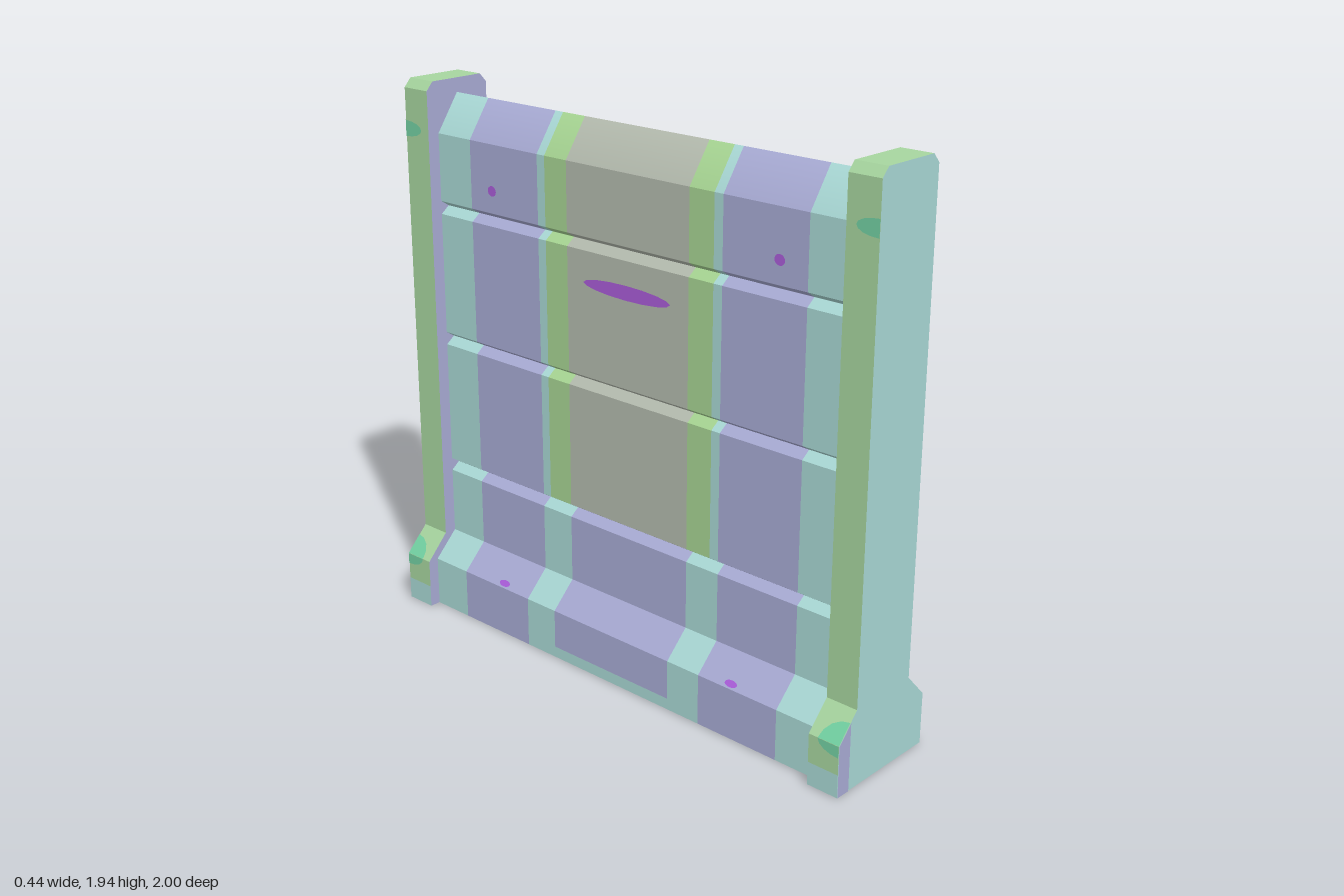
import * as THREE from 'three';

const colours = {
  teal: 0xa8d7d4, violet: 0xa7aad3, green: 0xa7d59f, sage: 0xb3baad, lime: 0xa6d492,
  emerald: 0x72d0a2, magenta: 0xa95cd8, olive: 0xbcb690, mustard: 0xbaab28,
};

export function createModel() {
  const model = new THREE.Group();
  model.name = 'wallSection';
  const mats = {};
  for (const [name, color] of Object.entries(colours)) {
    mats[name] = new THREE.MeshStandardMaterial({ color });
    mats[name].name = name;
  }

  // Collects triangles of one part, one mesh per colour
  function makePart(name) {
    const buckets = {};
    const tri = (colour, pts, normals) => {
      const b = (buckets[colour] ??= { pos: [], nor: [] });
      pts.forEach((p, i) => { b.pos.push(...p); b.nor.push(...normals[i]); });
    };
    const outward = (a, b) => {
      const dx = b[0] - a[0], dy = b[1] - a[1], l = Math.hypot(dx, dy);
      return [dy / l, -dx / l, 0];
    };
    return {
      // Flat strip along z over one profile edge; ridge points may be smooth
      strip(colour, a, b, z0, z1, smoothY = Infinity) {
        const n = outward(a, b);
        const na = a[1] >= smoothY ? [0, 1, 0] : n, nb = b[1] >= smoothY ? [0, 1, 0] : n;
        const p = [[...a, z1], [...a, z0], [...b, z0], [...b, z1]];
        tri(colour, [p[0], p[1], p[2]], [na, na, nb]);
        tri(colour, [p[0], p[2], p[3]], [na, nb, nb]);
      },
      // Thin elliptical patch lying on a profile edge, clipped to the edge and to zMax
      spot(colour, a, b, t, z, rt, rz, zMax = 2) {
        const n = outward(a, b), len = Math.hypot(b[0] - a[0], b[1] - a[1]);
        const d = [(b[0] - a[0]) / len, (b[1] - a[1]) / len], sides = 16;
        const at = (tt, zz) => {
          const s = Math.min(len, Math.max(0, tt));
          return [a[0] + d[0] * s + n[0] * 0.002, a[1] + d[1] * s + n[1] * 0.002, Math.min(zMax, zz)];
        };
        const rim = (i) => {
          const g = (i / sides) * Math.PI * 2;
          return at(t + rt * Math.sin(g), z - rz * Math.cos(g));
        };
        for (let i = 0; i < sides; i++) tri(colour, [at(t, z), rim(i), rim(i + 1)], [n, n, n]);
      },
      build() {
        const group = new THREE.Group();
        group.name = name;
        for (const [colour, b] of Object.entries(buckets)) {
          const g = new THREE.BufferGeometry();
          g.setAttribute('position', new THREE.Float32BufferAttribute(b.pos, 3));
          g.setAttribute('normal', new THREE.Float32BufferAttribute(b.nor, 3));
          const mesh = new THREE.Mesh(g, mats[colour]);
          mesh.name = `${name} ${colour}`;
          group.add(mesh);
        }
        return group;
      },
    };
  }

  // Closed counter-clockwise loop from a right-hand half profile
  const mirrorLoop = (half) => [
    ...half, ...half.filter((p) => p[0] > 0).reverse().map(([x, y]) => [-x, y]),
  ];
  // Calls fn for both the +x edge and its mirrored -x edge
  const bothSides = (a, b, fn) => {
    fn(a, b, 1);
    fn([-b[0], b[1]], [-a[0], a[1]], -1);
  };

  // Wall: flared base, V grooves between the courses, ridged top
  const H = 0.885;
  const half = [[0.18, 0], [0.18, 0.04], [0.18, 0.18], [0.09, 0.27]];
  for (const y of [0.51, 0.997, 1.476]) {
    half.push([0.09, y], [0.057, y + 0.025], [0.09, y + 0.046]);
    if (y === 0.997) half.push([0.09, 1.11]);
  }
  half.push([0.09, 1.76], [0, 1.89]);
  const bands = [-H, -0.725, -0.4, -0.365, -0.265, 0.265, 0.365, 0.4, 0.725, H];
  const wallColour = (x, y, z) => {
    const panel = y > (x > 0 ? 1.11 : 0.55);
    z = Math.abs(z);
    if (y < 0.001) return 'olive';
    if (z > 0.725) return 'teal';
    if (z > 0.4) return 'violet';
    if (z > 0.365) return 'teal';
    if (z > 0.265) return panel ? 'lime' : 'teal';
    if (panel) return 'sage';
    return y < 0.04 ? 'teal' : 'violet';
  };
  const wall = makePart('wall');
  const loop = mirrorLoop(half);
  loop.forEach((a, i) => {
    const b = loop[(i + 1) % loop.length];
    for (let k = 0; k + 1 < bands.length; k++) {
      const colour = wallColour((a[0] + b[0]) / 2, (a[1] + b[1]) / 2, (bands[k] + bands[k + 1]) / 2);
      wall.strip(colour, a, b, bands[k], bands[k + 1], 1.89);
    }
  });
  model.add(wall.build());

  // Small stains on the wall
  const stains = makePart('stains');
  for (const s of [-1, 1]) {
    bothSides([0.18, 0.18], [0.09, 0.27], (a, b, side) =>
      stains.spot('magenta', a, b, side > 0 ? 0.035 : 0.11, s * 0.53, side > 0 ? 0.035 : 0.012, 0.025));
    stains.spot('magenta', [0.09, 1.52], [0.09, 1.76], 0.17, s * 0.565, 0.013, 0.016);
    stains.spot('magenta', [-0.09, 1.76], [-0.09, 1.52], 0.16, s * 0.62, 0.018, 0.02);
    stains.spot('magenta', [0.09, 0.27], [0.09, 0.51], 0.09, s * 0.17, 0.01, 0.025);
  }
  stains.spot('magenta', [0.09, 0.27], [0.09, 0.51], 0.09, 0, 0.022, 0.022);
  stains.spot('magenta', [-0.09, 1.47], [-0.09, 1.11], 0.1, 0, 0.025, 0.19);
  stains.spot('mustard', [-0.18, 0], [0.18, 0], 0.18, 0, 0.08, 0.25);
  model.add(stains.build());

  // End posts with a wider foot and a bevelled top
  const postLoop = mirrorLoop([
    [0.22, 0], [0.22, 0.08], [0.22, 0.18], [0.135, 0.27], [0.135, 1.91], [0.108, 1.94],
  ]);
  const capShape = new THREE.Shape(postLoop.map(([x, y]) => new THREE.Vector2(x, y)));
  function makePost(name) {
    const part = makePart(name);
    postLoop.forEach((a, i) => {
      const b = postLoop[(i + 1) % postLoop.length], y = (a[1] + b[1]) / 2;
      part.strip(y < 0.001 ? 'olive' : y < 0.08 ? 'teal' : 'green', a, b, H, 1);
    });
    bothSides([0.22, 0.08], [0.22, 0.18], (a, b, s) =>
      part.spot('emerald', a, b, s > 0 ? 0.1 : 0, 1, 0.04, 0.08, 1));
    bothSides([0.22, 0.18], [0.135, 0.27], (a, b, s) =>
      part.spot('emerald', a, b, s > 0 ? 0 : 0.124, 1, 0.08, 0.08, 1));
    bothSides([0.135, 0.27], [0.135, 1.91], (a, b, s) =>
      part.spot('emerald', a, b, s > 0 ? 1.5 : 0.14, 1, 0.028, 0.08, 1));
    const post = part.build();
    const outer = new THREE.Mesh(new THREE.ShapeGeometry(capShape).translate(0, 0, 1), mats.teal);
    outer.name = 'outer face';
    const inner = new THREE.Mesh(
      new THREE.ShapeGeometry(capShape).rotateY(Math.PI).translate(0, 0, H), mats.violet);
    inner.name = 'inner face';
    post.add(outer, inner);
    return post;
  }
  // Violet edge on the outer face of a foot
  function footEdge(side) {
    const pts = [[0.165, 0], [0.22, 0], [0.22, 0.18], [0.165, 0.238]];
    const shape = new THREE.Shape(pts.map(([x, y]) => new THREE.Vector2(side * x, y)));
    const mesh = new THREE.Mesh(new THREE.ShapeGeometry(shape).translate(0, 0, 1.002), mats.violet);
    mesh.name = 'foot edge';
    return mesh;
  }
  const frontPost = makePost('frontPost');
  frontPost.add(footEdge(-1));
  const backPost = makePost('backPost');
  backPost.add(footEdge(-1), footEdge(1));
  backPost.rotation.y = Math.PI;
  model.add(frontPost, backPost);

  return model;
}
